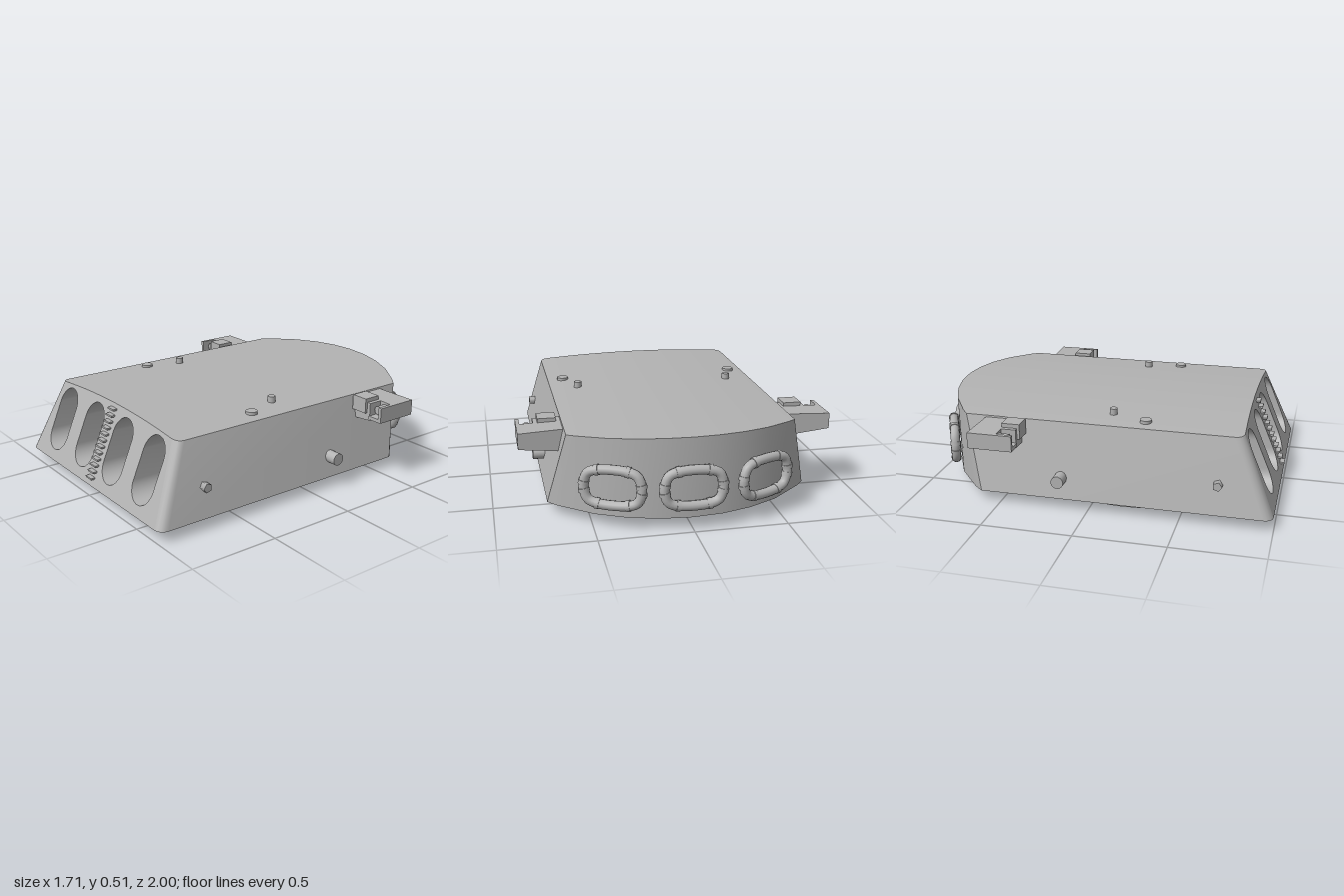
import * as THREE from 'three';
import { toCreasedNormals } from 'three/addons/utils/BufferGeometryUtils.js';

const grey = new THREE.MeshStandardMaterial({ color: 0xb3b3b3 });
grey.name = 'armour grey';
const greyOpen = new THREE.MeshStandardMaterial({ color: 0xb3b3b3, side: THREE.DoubleSide });
greyOpen.name = 'armour grey open';

const BASE = 0.06;
const crown = x => 0.497 - 0.027 * (x / 0.615) ** 2; // roof height
const frontZ = y => 0.995 - (y - BASE) * 0.43; // sloped front plate
const rearZ = x => -0.034 - Math.sqrt(0.916 ** 2 - x * x); // curved rear wall

function add(parent, name, geo, x = 0, y = 0, z = 0, mat = grey) {
  const mesh = new THREE.Mesh(geo, mat);
  mesh.name = name;
  mesh.position.set(x, y, z);
  parent.add(mesh);
  return mesh;
}

// Surface from a list of four-cornered faces
function quadGeometry(quads) {
  const pos = [];
  for (const [a, b, c, d] of quads) for (const p of [a, b, c, a, c, d]) pos.push(...p);
  const geo = new THREE.BufferGeometry();
  geo.setAttribute('position', new THREE.Float32BufferAttribute(pos, 3));
  return toCreasedNormals(geo, 0.5);
}

function slotPath(cx, Type) {
  const r = 0.094, low = 0.209, high = 0.366;
  const p = new Type();
  p.absarc(cx, high, r, 0, Math.PI, false);
  p.absarc(cx, low, r, Math.PI, Math.PI * 2, false);
  p.closePath();
  return p;
}

function buildHull(g) {
  // Matching rows of points along the front and rear, at roof and base
  const half = [];
  for (const x of [0, 0.14, 0.28, 0.42]) half.push({ x, a: 0 });
  for (let i = 0; i <= 4; i++) half.push({ x: 0.57, a: i * Math.PI / 8 });
  const all = [...half.slice(1).reverse().map(p => ({ ...p, s: -1 })), ...half.map(p => ({ ...p, s: 1 }))];
  const rows = all.map(({ x, a, s }) => {
    const xt = x + 0.045 * Math.sin(a);
    const xb = x * 0.665 / 0.57 + 0.05 * Math.sin(a);
    const back = 1 - Math.cos(a);
    return {
      flat: a === 0,
      ft: [s * xt, crown(xt), frontZ(crown(x)) - 0.045 * back],
      fb: [s * xb, BASE, frontZ(BASE) - 0.05 * back],
      rt: [s * xt, crown(xt), rearZ(xt)],
      rb: [s * xb, BASE, rearZ(xb)],
    };
  });
  const roof = [], walls = [], floor = [];
  for (let i = 0; i < rows.length - 1; i++) {
    const p = rows[i], q = rows[i + 1];
    roof.push([p.ft, q.ft, q.rt, p.rt]);
    floor.push([q.fb, p.fb, p.rb, q.rb]);
    walls.push([q.rb, p.rb, p.rt, q.rt]);
    if (!p.flat || !q.flat) walls.push([p.fb, q.fb, q.ft, p.ft]);
  }
  const l = rows[rows.length - 1], r = rows[0];
  walls.push([l.fb, l.rb, l.rt, l.ft], [r.rb, r.fb, r.ft, r.rt]);
  add(g, 'roof', quadGeometry(roof));
  add(g, 'walls', quadGeometry(walls));
  add(g, 'floor', quadGeometry(floor));

  // Front plate with four gun slots
  const flats = rows.filter(p => p.flat).reverse();
  const plate = new THREE.Shape([
    new THREE.Vector2(-0.665, BASE), new THREE.Vector2(0.665, BASE),
    ...flats.map(p => new THREE.Vector2(p.ft[0], p.ft[1])),
  ]);
  const slots = [-0.463, -0.154, 0.154, 0.463];
  for (const cx of slots) plate.holes.push(slotPath(cx, THREE.Path));
  const plateGeo = new THREE.ShapeGeometry(plate, 12);
  const pos = plateGeo.attributes.position;
  for (let i = 0; i < pos.count; i++) pos.setZ(i, frontZ(pos.getY(i)));
  plateGeo.computeVertexNormals();
  add(g, 'frontPlate', plateGeo);

  // Recess behind each slot
  for (const cx of slots) {
    const shape = slotPath(cx, THREE.Shape);
    const pts = shape.getPoints(12);
    const quads = [];
    for (let i = 0; i < pts.length; i++) {
      const p = pts[i], q = pts[(i + 1) % pts.length];
      if (p.distanceTo(q) < 1e-5) continue;
      quads.push([[p.x, p.y, frontZ(p.y)], [q.x, q.y, frontZ(q.y)], [q.x, q.y, 0.6], [p.x, p.y, 0.6]]);
    }
    add(g, 'slotRecess', quadGeometry(quads));
    add(g, 'slotBack', new THREE.ShapeGeometry(shape, 12), 0, 0, 0.6);
  }
}

// Sighting arm with an open notch and a lens in front
function buildArm() {
  const arm = new THREE.Group();
  arm.name = 'sightingArm';
  const plan = [[0.58, 0.595], [0.855, 0.612], [0.855, 0.365], [0.835, 0.366], [0.835, 0.455],
    [0.763, 0.455], [0.763, 0.373], [0.58, 0.388]];
  const geo = new THREE.ExtrudeGeometry(new THREE.Shape(plan.map(p => new THREE.Vector2(...p))),
    { depth: 1, bevelEnabled: false });
  geo.rotateX(-Math.PI / 2);
  const pos = geo.attributes.position;
  for (let i = 0; i < pos.count; i++) {
    const t = (0.855 - pos.getX(i)) / 0.235; // deeper toward the hull
    pos.setY(i, pos.getY(i) > 0.5 ? 0.455 + 0.006 * t : 0.368 - 0.03 * t);
  }
  geo.computeVertexNormals();
  add(arm, 'armBody', geo);
  add(arm, 'notchFloor', new THREE.BoxGeometry(0.076, 0.02, 0.088), 0.799, 0.375, -0.412);
  add(arm, 'lens', new THREE.CylinderGeometry(0.025, 0.025, 0.06, 16).rotateX(Math.PI / 2), 0.798, 0.42, -0.43);
  add(arm, 'sightBox', new THREE.BoxGeometry(0.1, 0.085, 0.1), 0.69, 0.438, -0.41);
  return arm;
}

// Rounded ring float with binding cuffs
function buildFloat() {
  const float = new THREE.Group();
  float.name = 'rearFloat';
  const pts = [];
  for (const [sx, sy, a0] of [[1, 1, 0], [-1, 1, 1], [-1, -1, 2], [1, -1, 3]])
    for (let i = 0; i <= 2; i++) {
      const a = (a0 + i / 2) * Math.PI / 2;
      pts.push(new THREE.Vector3(sx * 0.082 + 0.07 * Math.cos(a), sy * 0.022 + 0.07 * Math.sin(a), 0));
    }
  const curve = new THREE.CatmullRomCurve3(pts, true, 'centripetal');
  add(float, 'floatTube', new THREE.TubeGeometry(curve, 48, 0.026, 12, true));
  pts.forEach((p, i) => {
    if (i % 3 === 1) return;
    const cuff = add(float, 'floatCuff', new THREE.CylinderGeometry(0.0295, 0.0295, 0.022, 12), p.x, p.y, p.z);
    cuff.quaternion.setFromUnitVectors(new THREE.Vector3(0, 1, 0), curve.getTangent(i / pts.length));
  });
  return float;
}

export function createModel() {
  const g = new THREE.Group();
  g.name = 'turret';
  buildHull(g);

  // Turning ring under the hull
  add(g, 'baseRing', new THREE.CylinderGeometry(0.605, 0.605, BASE, 48, 1, true), 0, BASE / 2, 0.175, greyOpen);

  // Cross shaft behind the slots
  add(g, 'crossShaft', new THREE.CylinderGeometry(0.026, 0.026, 1.2, 12).rotateZ(Math.PI / 2), 0, 0.222, 0.7);

  // Ladder rungs up the front plate
  for (let i = 0; i < 12; i++) {
    const y = 0.105 + i * 0.0332;
    add(g, 'ladderRung', new THREE.BoxGeometry(0.06, 0.01, 0.03), 0, y, frontZ(y) + 0.009);
  }

  // Paired fittings on both sides
  for (const s of [1, -1]) {
    add(g, 'shaftEnd', new THREE.CylinderGeometry(0.026, 0.026, 0.08, 5).rotateZ(-s * Math.PI / 2), s * 0.67, 0.222, 0.7);
    add(g, 'sidePort', new THREE.CylinderGeometry(0.035, 0.035, 0.1, 14).rotateZ(-s * Math.PI / 2), s * 0.704, 0.172, -0.155);
    add(g, 'roofPost', new THREE.CylinderGeometry(0.022, 0.022, 0.06, 14), s * 0.455, 0.485, 0.085);
    add(g, 'roofCap', new THREE.CylinderGeometry(0.033, 0.033, 0.04, 14), s * 0.525, 0.472, 0.28);
    const arm = buildArm();
    if (s < 0) arm.scale.x = -1;
    g.add(arm);
  }

  // Floats along the rear wall
  for (const s of [-1, 0, 1]) {
    const float = buildFloat();
    float.position.set(s * 0.405, 0.232, s ? -0.888 : -0.97);
    float.rotation.y = -s * 0.435;
    g.add(float);
  }
  return g;
}
